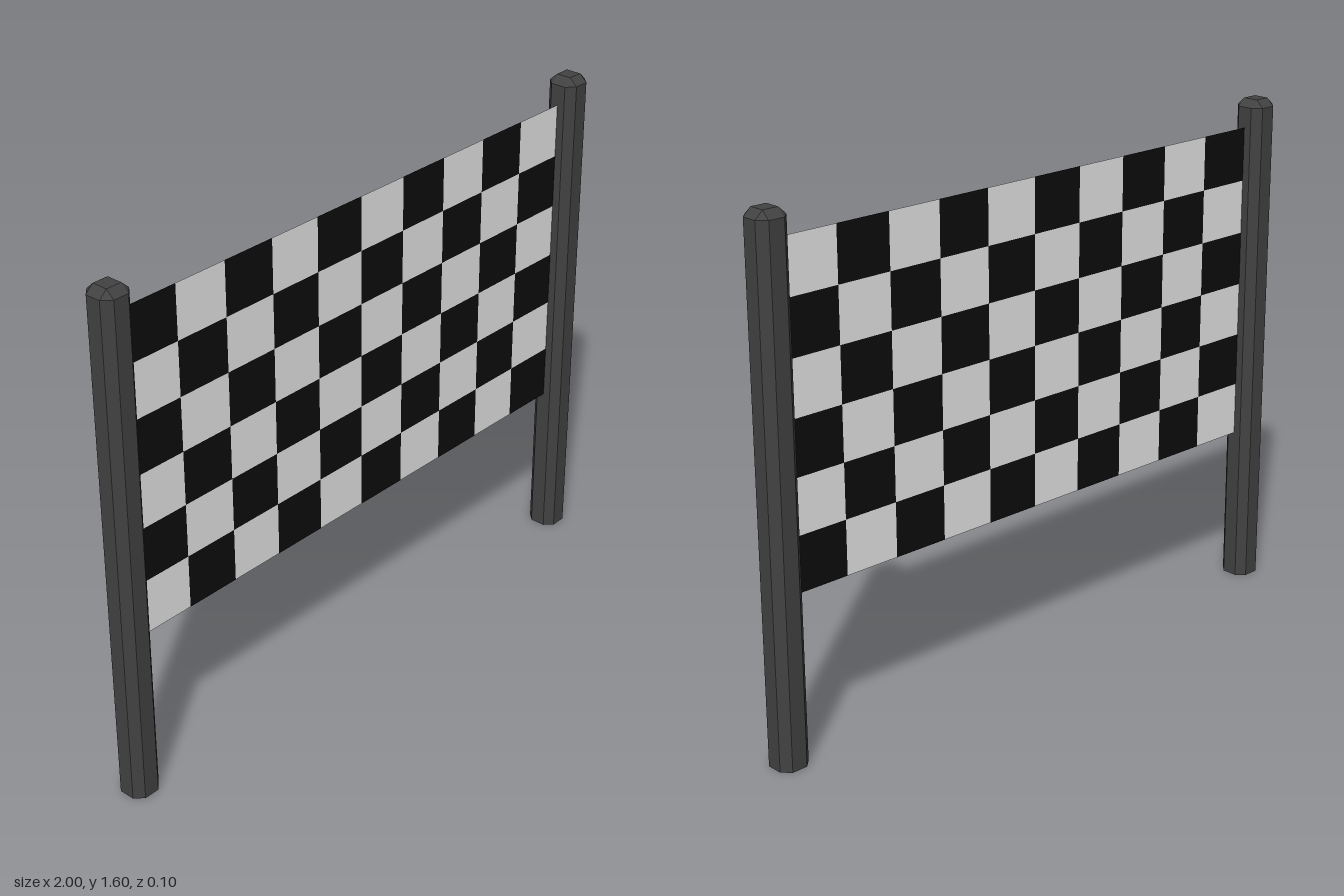
import * as THREE from 'three';

const COLS = 10, ROWS = 6;

// Square post with chamfered corners and a bevelled top, open underneath
function postGeometry(half, chamfer, height, bevel) {
  const flat = half - chamfer;
  const outline = [
    [half, flat], [half, -flat], [flat, -half], [-flat, -half],
    [-half, -flat], [-half, flat], [-flat, half], [flat, half],
  ];
  const clamp = (v) => THREE.MathUtils.clamp(v, -flat, flat);
  const ring = (y, inset) => outline.map(([x, z]) =>
    inset ? [clamp(x), y, clamp(z)] : [x, y, z]);
  const rings = [ring(0, false), ring(height - bevel, false), ring(height, true)];
  const pos = [];
  const tri = (a, b, c) => pos.push(...a, ...b, ...c);
  for (let r = 0; r < 2; r++) {
    for (let i = 0; i < 8; i++) {
      const j = (i + 1) % 8;
      const a = rings[r][i], b = rings[r][j], c = rings[r + 1][j], d = rings[r + 1][i];
      tri(a, b, c);
      // corner facets of the bevel close to a point
      if (c[0] !== d[0] || c[2] !== d[2]) tri(a, c, d);
    }
  }
  // square cap, made from every second point of the top ring
  const top = rings[2];
  tri(top[0], top[2], top[4]);
  tri(top[0], top[4], top[6]);
  const geo = new THREE.BufferGeometry();
  geo.setAttribute('position', new THREE.Float32BufferAttribute(pos, 3));
  geo.computeVertexNormals();
  return geo;
}

// Flat sheet whose cells alternate between two materials
function checkerGeometry(width, height) {
  const geo = new THREE.PlaneGeometry(width, height, COLS, ROWS);
  for (let row = 0; row < ROWS; row++) {
    for (let col = 0; col < COLS; col++) {
      geo.addGroup((row * COLS + col) * 6, 6, (row + col) % 2);
    }
  }
  return geo;
}

export function createModel() {
  const material = (name, color) => {
    const m = new THREE.MeshStandardMaterial({ color, side: THREE.DoubleSide, flatShading: true });
    m.name = name;
    return m;
  };
  const black = material('black cloth', 0x0c0c0c);
  const white = material('white cloth', 0xeeeeee);
  const grey = material('dark grey post', 0x424242);

  const group = new THREE.Group();
  group.name = 'checkeredBanner';

  // Posts
  const post = postGeometry(0.05, 0.025, 1.597, 0.023);
  for (const [name, side] of [['leftPost', 1], ['rightPost', -1]]) {
    const mesh = new THREE.Mesh(post, grey);
    mesh.name = name;
    mesh.position.x = side * 0.95;
    group.add(mesh);
  }

  // Banner stretched between the posts
  const banner = new THREE.Mesh(checkerGeometry(1.8, 1.01), [black, white]);
  banner.name = 'banner';
  banner.position.y = 1.005;
  group.add(banner);

  return group;
}
